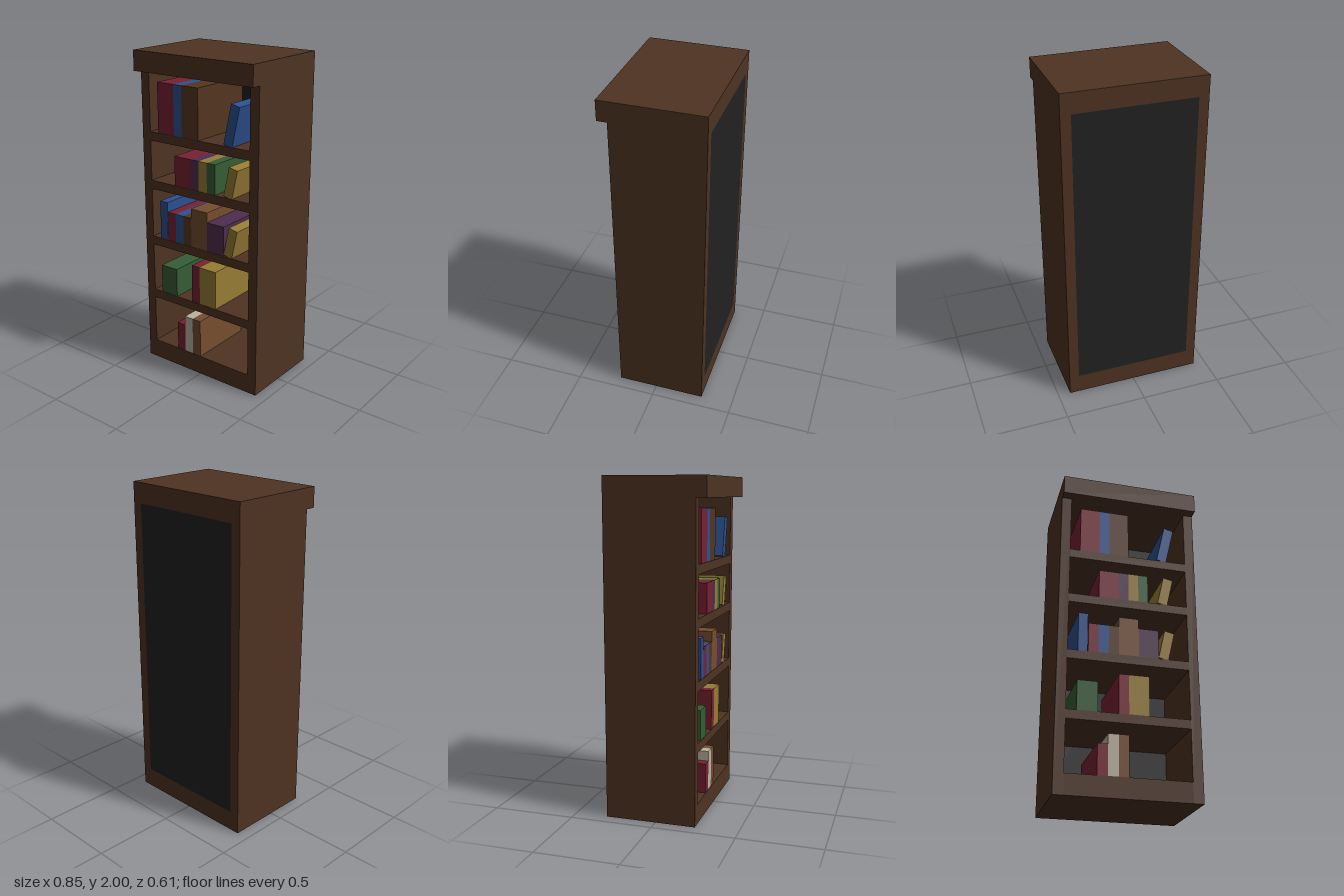
import * as THREE from 'three';

const U = 2 / 33; // one grid step; the bookcase is 14 x 33 x 10 steps

const mat = (name, color) => {
  const m = new THREE.MeshStandardMaterial({ color });
  m.name = name;
  return m;
};

export function createModel() {
  const M = {
    wood: mat('dark wood', 0x4e3322),
    panel: mat('charcoal', 0x222222),
    red: mat('red cover', 0x782132),
    blue: mat('blue cover', 0x2c5090),
    brown: mat('brown cover', 0x54351f),
    purple: mat('purple cover', 0x4e2d4d),
    yellow: mat('yellow cover', 0x977c35),
    green: mat('green cover', 0x355d35),
    tan: mat('tan cover', 0x754d2f),
    cream: mat('cream cover', 0xbcb3a3),
  };
  const model = new THREE.Group();
  model.name = 'bookcase';

  // Box between two corners, in grid steps
  const box = (parent, name, material, x0, x1, y0, y1, z0, z1) => {
    const geo = new THREE.BoxGeometry((x1 - x0) * U, (y1 - y0) * U, (z1 - z0) * U);
    const mesh = new THREE.Mesh(geo, material);
    mesh.name = name;
    mesh.position.set((x0 + x1) / 2 * U, (y0 + y1) / 2 * U, (z0 + z1) / 2 * U);
    parent.add(mesh);
    return mesh;
  };

  // Cabinet: sides, base, overhanging top and back
  const cabinet = new THREE.Group();
  cabinet.name = 'cabinet';
  model.add(cabinet);
  box(cabinet, 'rightSide', M.wood, -7, -6, 0, 31, -5, 4);
  box(cabinet, 'leftSide', M.wood, 6, 7, 0, 31, -5, 4);
  box(cabinet, 'base', M.wood, -6, 6, 0, 2, -5, 4);
  box(cabinet, 'top', M.wood, -7, 7, 31, 33, -5, 5);
  box(cabinet, 'backPanel', M.panel, -6, 6, 2, 31, -5, -4);

  // Shelf boards, named by the height of their upper face
  const floors = [8, 14, 20, 25];
  for (const y of floors) box(cabinet, 'shelf', M.wood, -6, 6, y - 0.9, y, -4, 4);

  // Upright books for each floor: [cover, x start, x end, height]
  const rows = [
    [25, [['red', -5, -3, 5], ['blue', -3, -2, 5], ['brown', -2, 0, 5]]],
    [20, [['red', -3, -1, 3], ['purple', -1, 0, 3], ['yellow', 0, 1, 3], ['green', 1, 2, 3]]],
    [14, [['blue', -5, -4.05, 4], ['red', -4, -3, 3], ['blue', -3, -2, 3], ['brown', -2, -1, 3],
      ['tan', -1, 1, 4], ['purple', 1, 3, 3]]],
    [8, [['green', -5, -3, 3], ['red', -1, 0, 4], ['yellow', 0, 2, 4]]],
    [2, [['red', -3, -2, 3], ['cream', -2, -1, 4], ['tan', -1, 0, 4]]],
  ];
  const books = new THREE.Group();
  books.name = 'books';
  model.add(books);
  for (const [y, row] of rows)
    for (const [cover, x0, x1, h] of row)
      box(books, cover + 'Book', M[cover], x0, x1, y, y + h, -3.1, 3.96);

  // Leaning books, tilted about their lower corner
  for (const [cover, y, h] of [['blue', 25, 4], ['yellow', 20, 3], ['yellow', 14, 3]]) {
    const lean = new THREE.Group();
    lean.name = cover + 'LeaningBook';
    lean.position.set(3 * U, (y + 0.14) * U, 0);
    lean.rotation.z = -0.218;
    box(lean, 'cover', M[cover], 0, 1, 0, h, -3.1, 3.96);
    books.add(lean);
  }
  return model;
}
